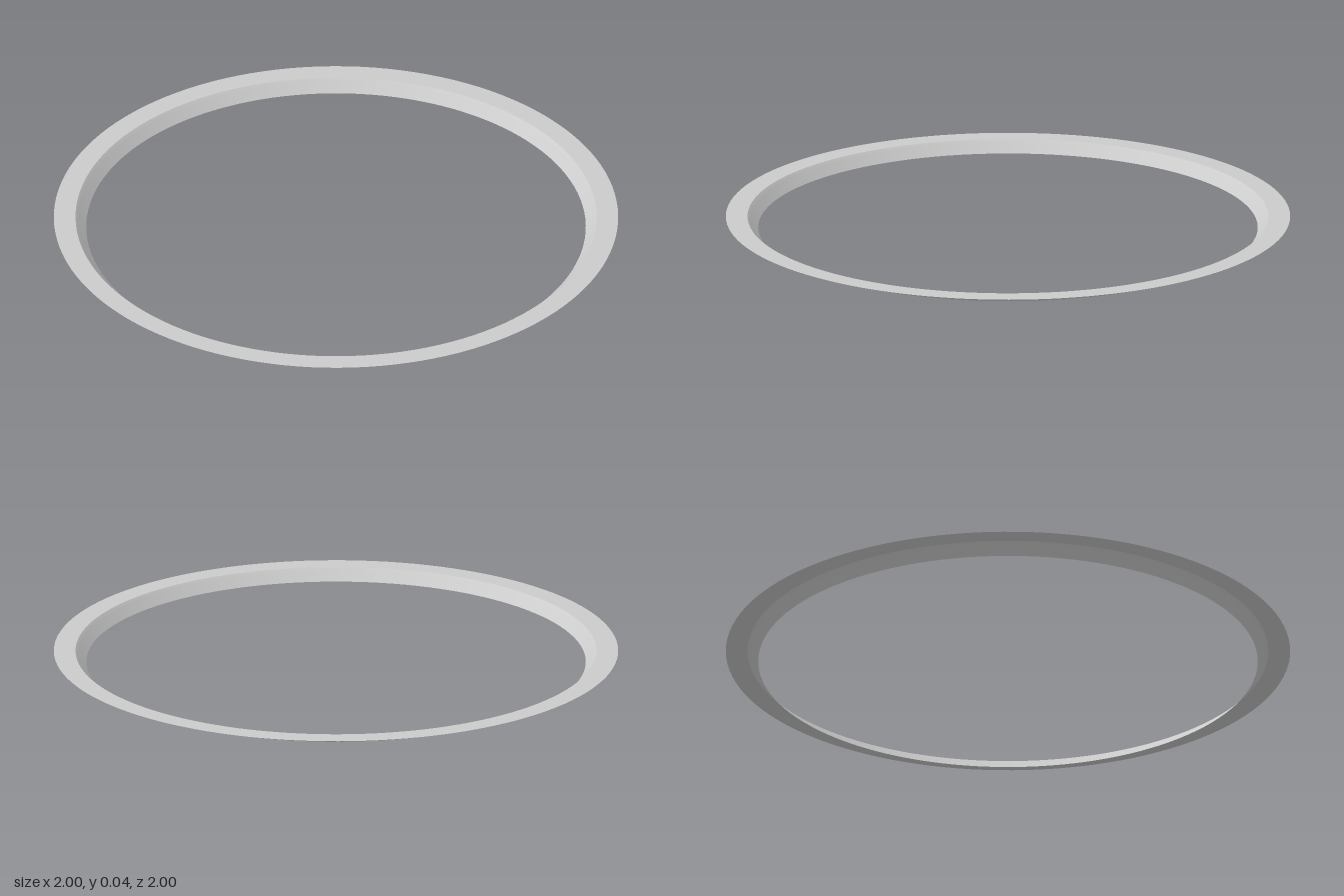
import * as THREE from 'three';

const SEGMENTS = 128;

export function createModel() {
  const group = new THREE.Group();
  group.name = 'trimRing';
  const material = new THREE.MeshStandardMaterial({ color: 0xcccccc, side: THREE.DoubleSide });

  // Revolves a short [radius, height] profile around the y axis
  const addRing = (name, profile) => {
    const points = profile.map(([r, y]) => new THREE.Vector2(r, y));
    const mesh = new THREE.Mesh(new THREE.LatheGeometry(points, SEGMENTS), material);
    mesh.name = name;
    group.add(mesh);
  };

  // Tapered skirt, small bend and flat outer flange; separate to keep creases sharp
  addRing('skirt', [[0.885, 0], [0.916, 0.034]]);
  addRing('bend', [[0.916, 0.034], [0.923, 0.041]]);
  addRing('flange', [[1, 0.041], [0.923, 0.041]].reverse());

  return group;
}
